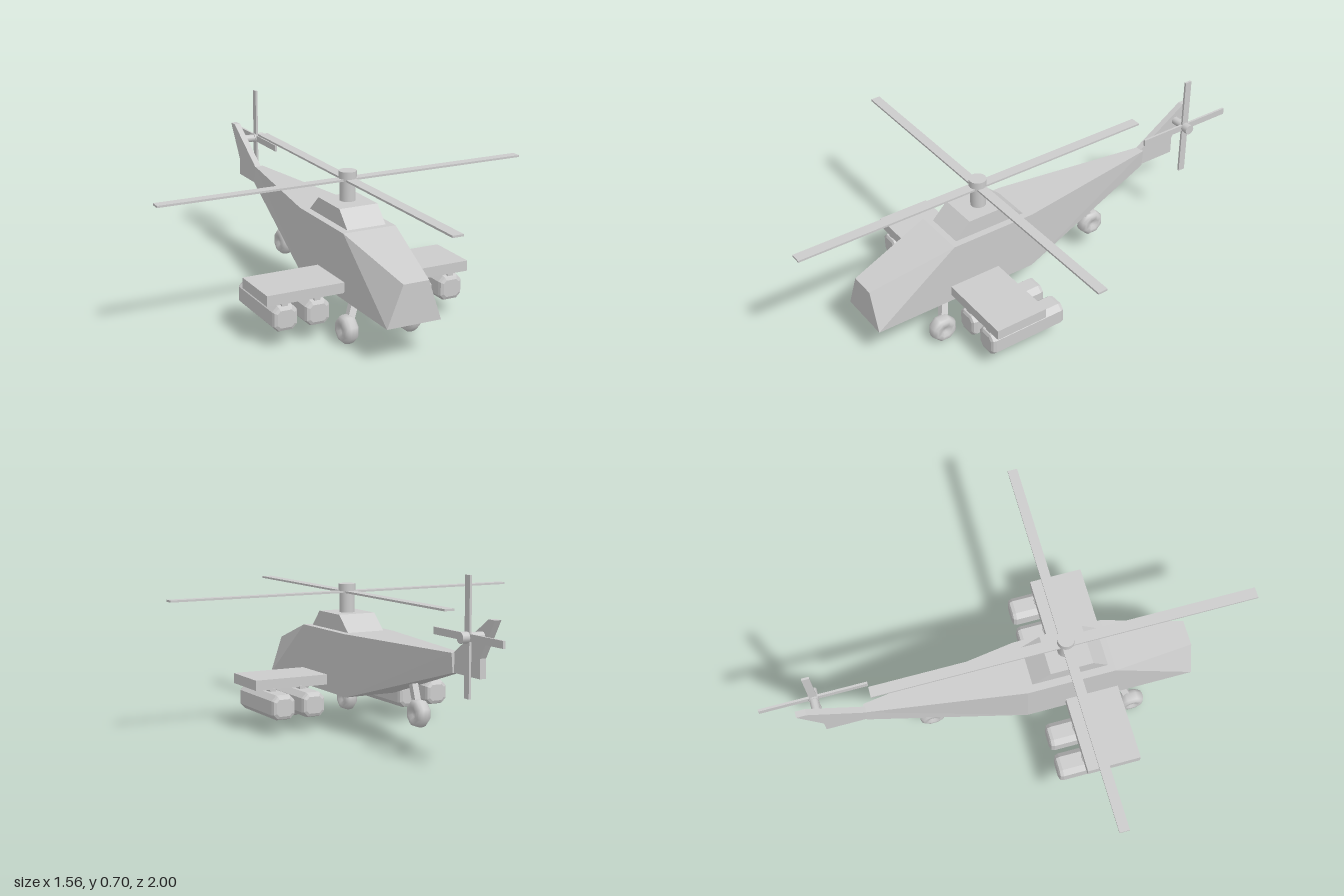
import * as THREE from 'three';

const OFF = -0.006; // the airframe sits slightly off the rotor axis

export function createModel() {
  const model = new THREE.Group();
  const smooth = new THREE.MeshStandardMaterial({ color: 0xcccccc });
  const flat = new THREE.MeshStandardMaterial({ color: 0xcccccc, flatShading: true });

  function add(name, geometry, x = 0, y = 0, z = 0, material = flat) {
    const mesh = new THREE.Mesh(geometry, material);
    mesh.name = name;
    mesh.position.set(x, y, z);
    model.add(mesh);
    return mesh;
  }
  const box = (name, w, h, d, x, y, z) => add(name, new THREE.BoxGeometry(w, h, d), x, y, z);

  // Side profile given as [z, y] points, extruded across x
  function sideProfile(points, width) {
    const shape = new THREE.Shape(points.map(p => new THREE.Vector2(...p)));
    return new THREE.ExtrudeGeometry(shape, { depth: width, bevelEnabled: false })
      .translate(0, 0, -width / 2).rotateY(-Math.PI / 2);
  }

  // Square bar between two points
  function bar(name, from, to, size) {
    const a = new THREE.Vector3(...from), b = new THREE.Vector3(...to);
    const mesh = box(name, size, a.distanceTo(b), size, 0, 0, 0);
    mesh.position.copy(a).add(b).multiplyScalar(0.5);
    mesh.quaternion.setFromUnitVectors(new THREE.Vector3(0, 1, 0), b.sub(a).normalize());
  }

  // Fuselage: four-cornered sections [z, halfTop, yTop, halfBottom, yBottom]
  const sections = [
    [0.745, 0.053, 0.304, 0.112, 0.144],
    [0.4, 0.112, 0.401, 0.112, 0.144],
    [0.035, 0.112, 0.401, 0.112, 0.144],
    [-0.605, 0.018, 0.401, 0.018, 0.327],
  ].map(([z, t, yt, b, yb]) => [
    [t - 0.003, yt, z], [-t - 0.003, yt, z], [-b - 0.008, yb, z], [b - 0.008, yb, z],
  ]);
  const verts = [];
  const quad = (a, b, c, d) => verts.push(...a, ...b, ...c, ...a, ...c, ...d);
  for (let i = 0; i < sections.length - 1; i++) {
    const A = sections[i], B = sections[i + 1];
    quad(A[0], B[0], B[1], A[1]);
    quad(A[3], B[3], B[0], A[0]);
    quad(A[2], A[1], B[1], B[2]);
    quad(A[2], B[2], B[3], A[3]);
  }
  quad(...sections[0]);
  quad(...[...sections[3]].reverse());
  const hull = new THREE.BufferGeometry();
  hull.setAttribute('position', new THREE.Float32BufferAttribute(verts, 3));
  hull.computeVertexNormals();
  add('fuselage', hull);

  // Tail fin and engine housing
  add('tailFin', sideProfile([[-0.6, 0.327], [-0.77, 0.327], [-0.77, 0.4],
    [-0.86, 0.545], [-0.82, 0.545], [-0.6, 0.401]], 0.026), -0.01);
  add('engineHousing', sideProfile([[0.375, 0.4], [0.06, 0.4], [0.135, 0.467], [0.31, 0.467]], 0.164), -0.002);

  // Main rotor
  const rz = 0.217;
  add('rotorMast', new THREE.CylinderGeometry(0.031, 0.031, 0.09, 16), 0, 0.505, rz, smooth);
  add('rotorHub', new THREE.CylinderGeometry(0.035, 0.035, 0.036, 16), 0, 0.567, rz, smooth);
  box('mainBladesAcross', 1.56, 0.008, 0.04, 0, 0.552, rz);
  box('mainBladesAlong', 0.044, 0.008, 1.566, 0, 0.552, rz);

  // Tail rotor
  const tz = -0.783, ty = 0.482;
  add('tailRotorShaft', new THREE.CylinderGeometry(0.017, 0.017, 0.075, 12).rotateZ(Math.PI / 2), 0.025, ty, tz, smooth);
  add('tailRotorHub', new THREE.CylinderGeometry(0.021, 0.021, 0.045, 12).rotateZ(Math.PI / 2), 0.074, ty, tz, smooth);
  box('tailBladesUpright', 0.009, 0.434, 0.03, 0.063, ty, tz);
  box('tailBladesLevel', 0.009, 0.027, 0.434, 0.063, ty, tz);

  // Stub wing through the body
  box('stubWing', 0.862, 0.042, 0.222, OFF, 0.194, 0.308);

  // Pods with chamfered corners and ends, hung on short pylons
  const h = 0.034, k = 0.022;
  const podShape = new THREE.Shape([[h, -k], [h, k], [k, h], [-k, h], [-h, k], [-h, -k], [-k, -h], [k, -h]]
    .map(p => new THREE.Vector2(...p)));
  const podGeometry = new THREE.ExtrudeGeometry(podShape, {
    depth: 0.301, bevelEnabled: true, bevelSize: 0.016, bevelThickness: 0.018, bevelSegments: 2,
  }).translate(0, 0, -0.1505);

  // Wheel: eight-sided tyre with a dished hub
  const wheelProfile = [[0, -0.018], [0.014, -0.02], [0.026, -0.03], [0.042, -0.029], [0.052, -0.02], [0.056, -0.008],
    [0.056, 0.008], [0.052, 0.02], [0.042, 0.029], [0.026, 0.03], [0.014, 0.02], [0, 0.018]]
    .map(p => new THREE.Vector2(...p));
  const wheelGeometry = new THREE.LatheGeometry(wheelProfile, 8)
    .rotateY(Math.PI / 8).rotateZ(Math.PI / 2);

  for (const [side, s] of [['left', 1], ['right', -1]]) {
    for (const px of [0.224, 0.357]) {
      add(side + 'Pod', podGeometry, OFF + s * px, 0.115, 0.257);
      box(side + 'Pylon', 0.026, 0.02, 0.22, OFF + s * px, 0.168, 0.305);
    }
    add(side + 'Wheel', wheelGeometry, OFF + s * 0.134, 0.054, 0.48, smooth);
    bar(side + 'Strut', [OFF + s * 0.13, 0.06, 0.478], [OFF + s * 0.07, 0.17, 0.43], 0.028);
  }

  // Tail wheel
  add('tailWheel', wheelGeometry, OFF, 0.134, -0.345, smooth);
  bar('tailStrut', [OFF, 0.14, -0.343], [OFF, 0.26, -0.3], 0.026);

  return model;
}
